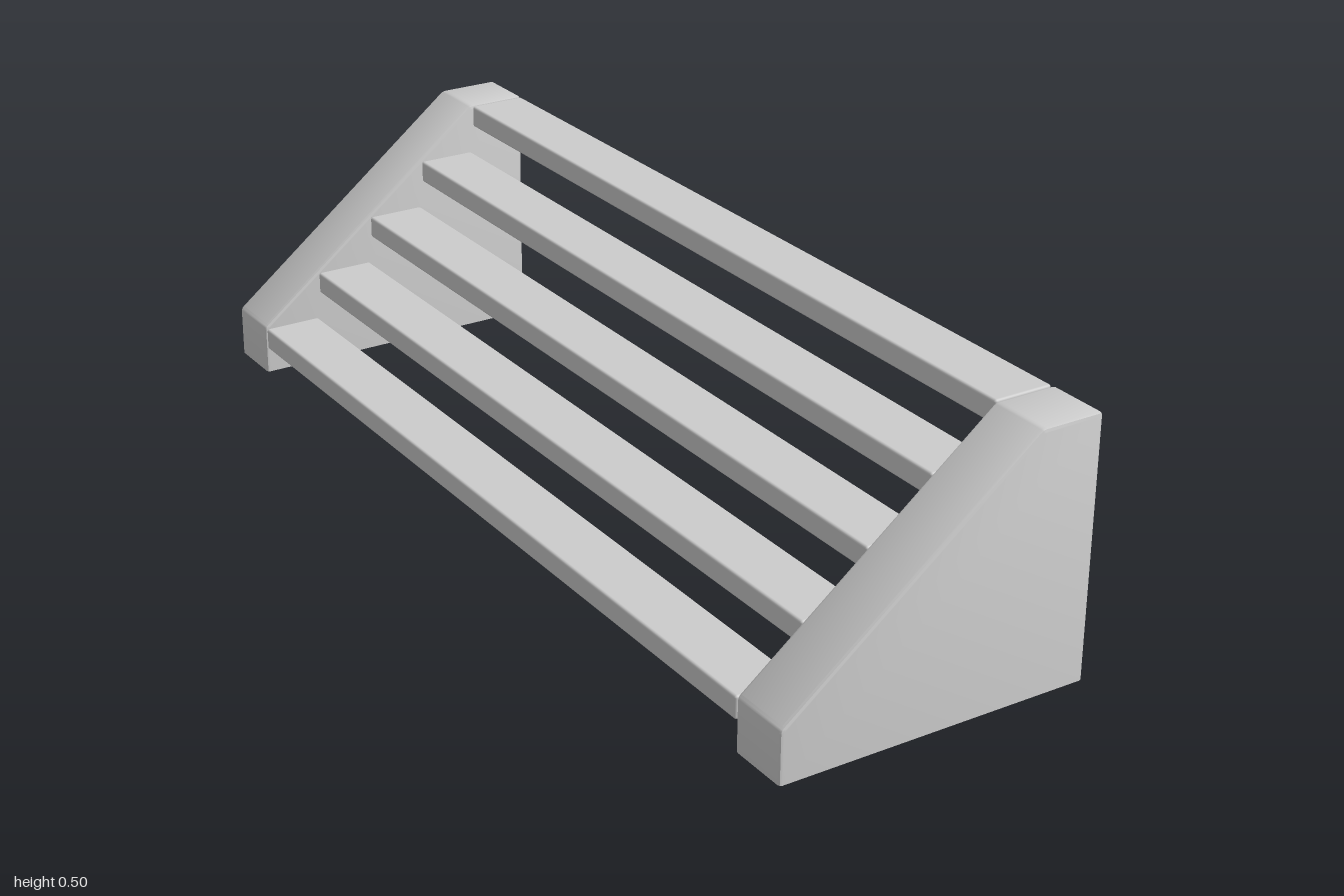
import * as THREE from 'three';
import { toCreasedNormals } from 'three/addons/utils/BufferGeometryUtils.js';
import { RoundedBoxGeometry } from 'three/addons/geometries/RoundedBoxGeometry.js';

const BEVEL = 0.006;
const HALF = 0.312; // half the depth along x
const THICK = 0.124; // end panel thickness

// Softened-edge end panel, hollow and open underneath
function panelGeometry() {
  const c = 0.005;
  const shape = new THREE.Shape();
  shape.moveTo(-HALF, -0.02);
  shape.lineTo(HALF, -0.02);
  shape.lineTo(HALF, 0.5 - c);
  shape.quadraticCurveTo(HALF, 0.5, HALF - c, 0.5);
  shape.lineTo(0.196, 0.5);
  shape.quadraticCurveTo(0.188, 0.5, 0.182, 0.495);
  shape.lineTo(-HALF + 0.006, 0.107);
  shape.quadraticCurveTo(-HALF, 0.102, -HALF, 0.094);
  shape.closePath();
  const geo = new THREE.ExtrudeGeometry(shape, {
    depth: THICK - 2 * BEVEL, curveSegments: 3,
    bevelThickness: BEVEL, bevelSize: BEVEL, bevelOffset: -BEVEL, bevelSegments: 2,
  });
  geo.translate(0, 0, -THICK / 2 + BEVEL);

  // Trim everything below the floor, leaving the base open
  const p = geo.attributes.position;
  const kept = [];
  for (let i = 0; i < p.count; i += 3) {
    if (Math.max(p.getY(i), p.getY(i + 1), p.getY(i + 2)) <= 0) continue;
    for (let j = i; j < i + 3; j++) kept.push(p.getX(j), Math.max(0, p.getY(j)), p.getZ(j));
  }
  const open = new THREE.BufferGeometry();
  open.setAttribute('position', new THREE.Float32BufferAttribute(kept, 3));
  return toCreasedNormals(open, 0.6);
}

export function createModel() {
  const group = new THREE.Group();
  const material = new THREE.MeshStandardMaterial({ color: 0xcccccc });
  const shellMaterial = new THREE.MeshStandardMaterial({ color: 0xcccccc, side: THREE.DoubleSide });

  // Two sloped end panels
  const panel = panelGeometry();
  for (const [name, side] of [['frontEndPanel', 1], ['backEndPanel', -1]]) {
    const mesh = new THREE.Mesh(panel, shellMaterial);
    mesh.name = name;
    mesh.position.z = side * (1 - THICK / 2);
    group.add(mesh);
  }

  // Five stepped slats between them
  const slat = new RoundedBoxGeometry(0.119, 0.045, 1.746, 2, 0.005);
  for (let i = 0; i < 5; i++) {
    const mesh = new THREE.Mesh(slat, material);
    mesh.name = `slat${i + 1}`;
    mesh.position.set(-0.2515 + i * 0.12575, 0.0775 + i * 0.1, 0);
    group.add(mesh);
  }
  return group;
}
